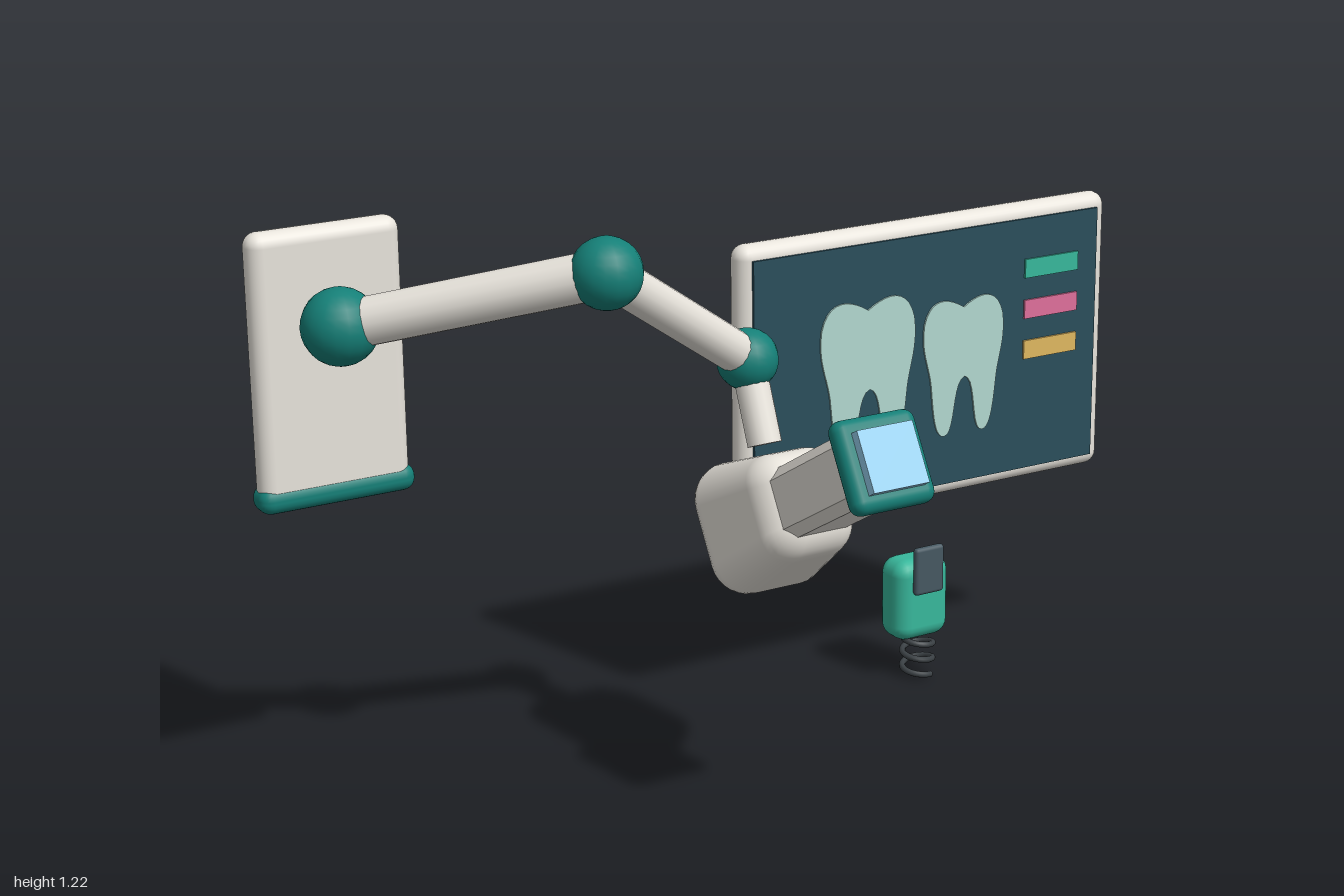
import * as THREE from 'three';
import { RoundedBoxGeometry } from 'three/addons/geometries/RoundedBoxGeometry.js';

const mat = (color) => new THREE.MeshStandardMaterial({ color });
const M = {
  shell: mat(0xe8e4dc), teal: mat(0x158078), slate: mat(0x465862), panel: mat(0x2a4e5b),
  glass: mat(0x98d2f0), tooth: mat(0xb2d8d0), mint: mat(0x38b89c), pink: mat(0xe0709c),
  amber: mat(0xe0b860), wire: mat(0x3a4044),
};

function add(parent, name, geometry, material, x = 0, y = 0, z = 0) {
  const mesh = new THREE.Mesh(geometry, material);
  mesh.name = name;
  mesh.position.set(x, y, z);
  parent.add(mesh);
  return mesh;
}

const rounded = (w, h, d, r, seg = 3) => new RoundedBoxGeometry(w, h, d, seg, r);

// Cylinder between two points
function rod(parent, name, a, b, radius) {
  const dir = b.clone().sub(a);
  const mesh = add(parent, name, new THREE.CylinderGeometry(radius, radius, dir.length(), 16), M.shell);
  mesh.position.copy(a).addScaledVector(dir, 0.5);
  mesh.quaternion.setFromUnitVectors(new THREE.Vector3(0, 1, 0), dir.normalize());
}

// Flat two-rooted tooth outline, one unit centred on the origin
function toothShape() {
  const s = new THREE.Shape();
  s.moveTo(0, 0.43);
  s.bezierCurveTo(0.2, 0.52, 0.42, 0.54, 0.49, 0.34);
  s.bezierCurveTo(0.53, 0.15, 0.45, 0.05, 0.42, -0.1);
  s.bezierCurveTo(0.39, -0.28, 0.37, -0.5, 0.25, -0.5);
  s.bezierCurveTo(0.1, -0.5, 0.18, -0.1, 0.02, -0.08);
  s.bezierCurveTo(-0.14, -0.1, -0.08, -0.5, -0.23, -0.5);
  s.bezierCurveTo(-0.36, -0.5, -0.37, -0.28, -0.4, -0.1);
  s.bezierCurveTo(-0.43, 0.05, -0.53, 0.15, -0.49, 0.34);
  s.bezierCurveTo(-0.42, 0.54, -0.2, 0.52, 0, 0.43);
  return s;
}

// Rounded block that narrows towards its front
function headGeometry() {
  const g = rounded(0.25, 0.27, 0.31, 0.075, 4);
  const p = g.attributes.position;
  const n = g.attributes.normal;
  const v = new THREE.Vector3();
  for (let i = 0; i < p.count; i++) {
    const z = p.getZ(i);
    const t = Math.max(0, (z + 0.08) / 0.235);
    const k = 1 - 0.27 * t;
    v.set(n.getX(i), n.getY(i), n.getZ(i) + (t > 0 ? 0.14 * Math.hypot(n.getX(i), n.getY(i)) : 0)).normalize();
    p.setXY(i, p.getX(i) * k, p.getY(i) * k);
    n.setXYZ(i, v.x, v.y, v.z);
  }
  return g;
}

// Box with bevelled long edges, running along z
function chamferedTube(w, h, c, length) {
  const a = w / 2, b = h / 2;
  const s = new THREE.Shape([
    [a, -b + c], [a, b - c], [a - c, b], [-a + c, b],
    [-a, b - c], [-a, -b + c], [-a + c, -b], [a - c, -b],
  ].map(([x, y]) => new THREE.Vector2(x, y)));
  return new THREE.ExtrudeGeometry(s, { depth: length, bevelEnabled: false });
}

function buildArm() {
  const arm = new THREE.Group();
  arm.name = 'articulatedArm';
  add(arm, 'wallPlate', rounded(0.316, 0.55, 0.06, 0.028), M.shell, -0.837, 0.936, -0.416);
  add(arm, 'wallPlateTrim', rounded(0.33, 0.055, 0.07, 0.025), M.teal, -0.835, 0.678, -0.416);

  const shoulder = new THREE.Vector3(-0.84, 1.025, -0.338);
  const elbow = new THREE.Vector3(-0.443, 1.15, 0);
  const wrist = new THREE.Vector3(-0.077, 0.9, -0.098);
  const stub = new THREE.Vector3(-0.077, 0.74, -0.033);
  rod(arm, 'upperArm', shoulder, elbow, 0.048);
  rod(arm, 'foreArm', elbow, wrist, 0.042);
  rod(arm, 'wristStub', wrist, stub, 0.035);
  [['shoulderJoint', shoulder, 0.077], ['elbowJoint', elbow, 0.071], ['wristJoint', wrist, 0.063]]
    .forEach(([name, p, r]) => add(arm, name, new THREE.SphereGeometry(r, 18, 14), M.teal, p.x, p.y, p.z));

  // Scanner head, pitched upwards
  const head = new THREE.Group();
  head.name = 'scannerHead';
  head.position.set(-0.078, 0.61, 0.023);
  head.rotation.x = -Math.PI / 6;
  add(head, 'headShell', headGeometry(), M.shell);
  add(head, 'beamTube', chamferedTube(0.155, 0.142, 0.022, 0.3), M.shell, 0, 0, 0.11);
  add(head, 'apertureFrame', rounded(0.182, 0.184, 0.05, 0.023), M.teal, 0, 0, 0.42);
  add(head, 'apertureGlass', new THREE.BoxGeometry(0.124, 0.122, 0.026), M.glass, 0, 0, 0.453);
  arm.add(head);
  return arm;
}

function buildMonitor() {
  const monitor = new THREE.Group();
  monitor.name = 'monitor';
  add(monitor, 'monitorCase', rounded(0.945, 0.63, 0.062, 0.03), M.shell, 0.524, 0.74, -0.367);
  add(monitor, 'screen', new THREE.BoxGeometry(0.885, 0.57, 0.012), M.panel, 0.522, 0.74, -0.336);
  add(monitor, 'rearMount', rounded(0.25, 0.185, 0.052, 0.02), M.slate, 0.525, 0.742, -0.423);

  // Tooth images
  const tooth = new THREE.ExtrudeGeometry(toothShape(), { depth: 0.005, bevelEnabled: false, curveSegments: 10 });
  [[0.361, 0.733, 0.24, 0.345], [0.608, 0.72, 0.21, 0.307]].forEach(([x, y, w, h]) =>
    add(monitor, 'toothImage', tooth, M.tooth, x, y, -0.331).scale.set(w, h, 1));

  // Coloured status bars
  [[M.mint, 0.914], [M.pink, 0.822], [M.amber, 0.73]].forEach(([m, y]) =>
    add(monitor, 'statusBar', new THREE.BoxGeometry(0.142, 0.042, 0.008), m, 0.84, y, -0.329));
  return monitor;
}

function buildRemote() {
  const remote = new THREE.Group();
  remote.name = 'handSwitch';
  add(remote, 'switchBody', rounded(0.14, 0.188, 0.094, 0.035), M.mint, 0.524, 0.188, -0.382);
  add(remote, 'switchButton', rounded(0.075, 0.11, 0.018, 0.008, 2), M.slate, 0.523, 0.265, -0.326);

  // Coiled cord
  const points = [];
  for (let i = 0; i <= 40; i++) {
    const a = 1.1 + (i / 40) * Math.PI * 5;
    points.push(new THREE.Vector3(0.525 + 0.034 * Math.cos(a), 0.009 + 0.09 * i / 40, -0.368 + 0.034 * Math.sin(a)));
  }
  const cord = new THREE.TubeGeometry(new THREE.CatmullRomCurve3(points), 100, 0.007, 8);
  add(remote, 'coiledCord', cord, M.wire).material.side = THREE.DoubleSide;
  return remote;
}

export function createModel() {
  const model = new THREE.Group();
  model.name = 'dentalXrayStation';
  model.add(buildArm(), buildMonitor(), buildRemote());
  return model;
}
